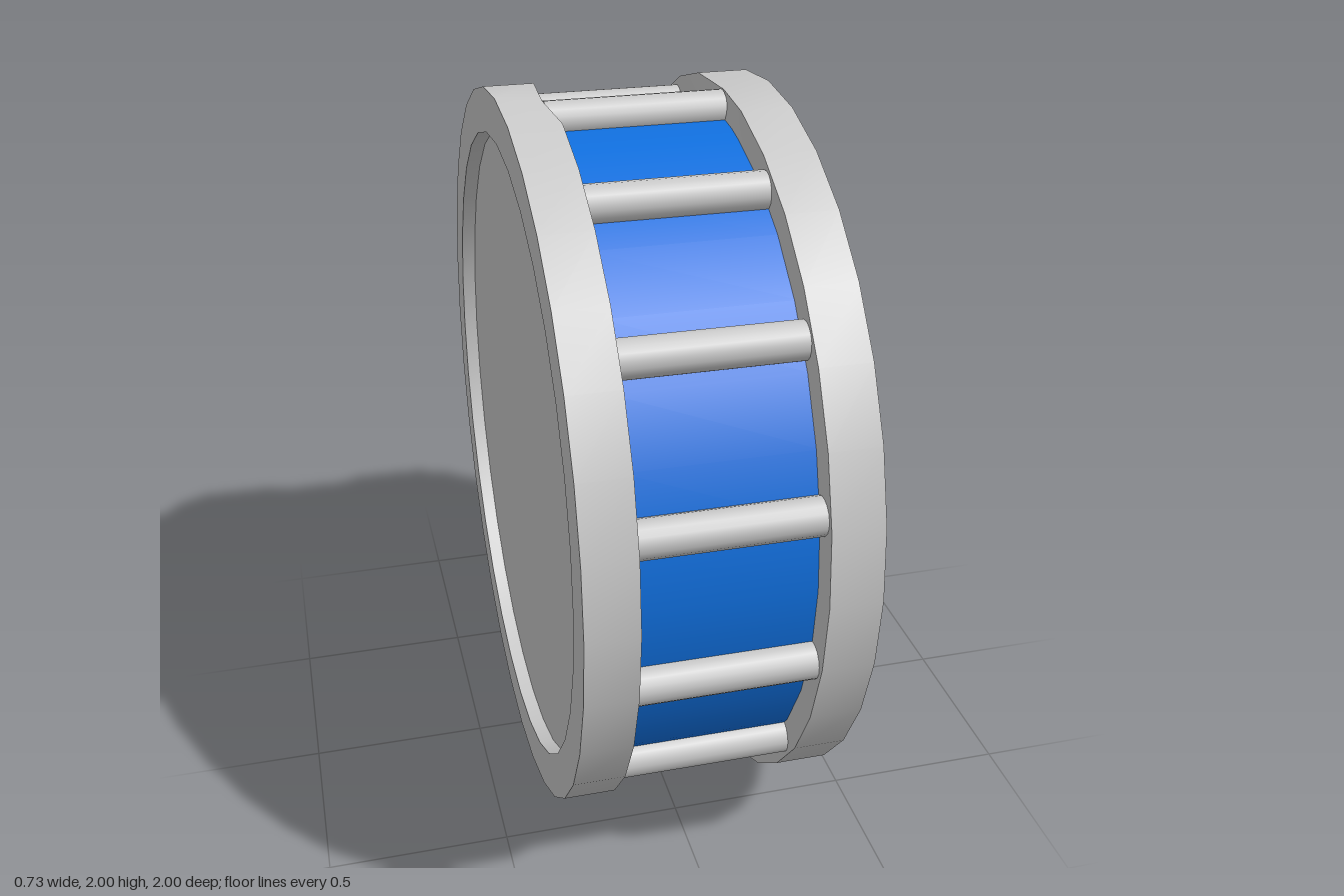
import * as THREE from 'three';
import { toCreasedNormals } from 'three/addons/utils/BufferGeometryUtils.js';

const SIDES = 32, INNER = 0.23, OUTER = 0.367, RECESS = 0.04;
const grey = new THREE.MeshStandardMaterial({ color: 0xcccccc });
const blue = new THREE.MeshStandardMaterial({ color: 0x1070e0 });

// Cylinder lying along x, with a vertex line at the top
function axle(radius, length, sides) {
  return new THREE.CylinderGeometry(radius, radius, length, sides).rotateZ(-Math.PI / 2);
}

// Square-section hoop on the +x side
function rimGeometry() {
  const profile = [[1, INNER], [1, OUTER], [0.88, OUTER], [0.88, INNER], [1, INNER]]
    .map(([r, x]) => new THREE.Vector2(r, x));
  const geo = new THREE.LatheGeometry(profile, SIDES).rotateZ(-Math.PI / 2);
  // Small dent in the topmost inner corner
  const p = geo.attributes.position;
  for (let i = 0; i < p.count; i++) {
    if (p.getY(i) > 0.999 && p.getX(i) < INNER + 0.001) p.setXYZ(i, 0.243, 0.985, 0);
  }
  return toCreasedNormals(geo, 0.5);
}

export function createModel() {
  const model = new THREE.Group();
  model.name = 'drum';

  const add = (name, geometry, material, parent = model) => {
    const mesh = new THREE.Mesh(geometry, material);
    mesh.name = name;
    parent.add(mesh);
    return mesh;
  };

  // Coloured shell between the hoops
  add('shell', axle(0.92, 2 * INNER + 0.02, SIDES), blue).position.y = 1;

  // Hoop and recessed skin on each side
  const rim = rimGeometry();
  const skin = axle(0.885, 0.06, SIDES);
  for (const side of [1, -1]) {
    const end = new THREE.Group();
    end.name = side > 0 ? 'leftEnd' : 'rightEnd';
    end.position.y = 1;
    end.rotation.y = side > 0 ? 0 : Math.PI;
    add('hoop', rim, grey, end);
    add('skin', skin, grey, end).position.x = OUTER - RECESS - 0.03;
    model.add(end);
  }

  // Tension rods around the shell
  const rods = new THREE.Group();
  rods.name = 'tensionRods';
  rods.position.y = 1;
  const rod = axle(0.05, 2 * INNER + 0.02, 16);
  const count = 14, ringRadius = 0.935;
  for (let i = 0; i < count; i++) {
    const a = (i / count) * Math.PI * 2;
    const mesh = add('tensionRod', rod, grey, rods);
    mesh.position.set(0, Math.cos(a) * ringRadius, Math.sin(a) * ringRadius);
    mesh.rotation.x = a;
  }
  model.add(rods);

  return model;
}
